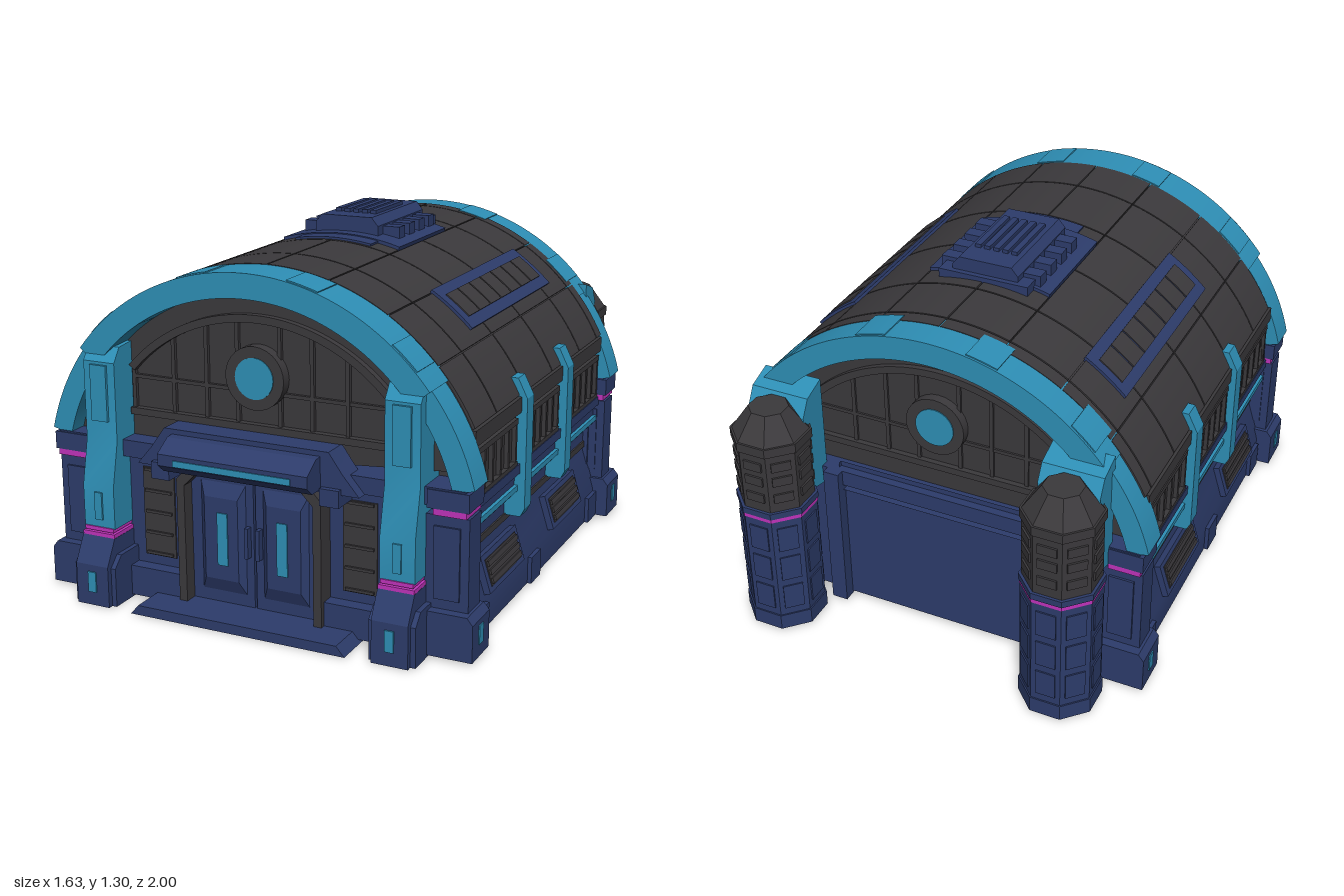
import * as THREE from 'three';
import { toCreasedNormals } from 'three/addons/utils/BufferGeometryUtils.js';

const mat = (name, color) => {
  const m = new THREE.MeshStandardMaterial({ color });
  m.name = name;
  return m;
};

export function createModel() {
  const dark = mat('charcoal panel', 0x3b393c);
  const navy = mat('navy metal', 0x2d3c6b);
  const cyan = mat('cyan trim', 0x2e8fb6);
  const pink = mat('magenta light', 0xc033bb);
  const model = new THREE.Group();
  model.name = 'hangar';
  const CY = 0.39; // centre height of the roof arc

  const add = (name, m, g, parent = model) => {
    const mesh = new THREE.Mesh(toCreasedNormals(g, 0.35), m);
    mesh.name = name;
    parent.add(mesh);
    return mesh;
  };
  // box given by its min and max on each axis
  const box = (name, m, x0, x1, y0, y1, z0, z1, parent) =>
    add(name, m, new THREE.BoxGeometry(x1 - x0, y1 - y0, z1 - z0)
      .translate((x0 + x1) / 2, (y0 + y1) / 2, (z0 + z1) / 2), parent);
  // box mirrored to both sides
  const pair = (name, m, x0, x1, ...r) => {
    box(name, m, x0, x1, ...r);
    box(name, m, -x1, -x0, ...r);
  };
  const poly = (pts) => new THREE.Shape(pts.map((p) => new THREE.Vector2(...p)));
  const extZ = (name, m, shape, z0, z1, parent) =>
    add(name, m, new THREE.ExtrudeGeometry(shape, { depth: z1 - z0, bevelEnabled: false, curveSegments: 40 })
      .translate(0, 0, z0), parent);
  // profile in (z, y) drawn out along x
  const extX = (name, m, pts, x0, x1, parent) =>
    add(name, m, new THREE.ExtrudeGeometry(poly(pts), { depth: x1 - x0, bevelEnabled: false })
      .rotateY(-Math.PI / 2).translate(x1, 0, 0), parent);
  // curved slab on the roof arc, angles measured from the top towards +x
  const arc = (name, m, r0, r1, a0, a1, z0, z1, parent) => {
    const s = new THREE.Shape();
    s.absarc(0, CY, r1, Math.PI / 2 - a0, Math.PI / 2 - a1, true);
    s.absarc(0, CY, r0, Math.PI / 2 - a1, Math.PI / 2 - a0, false);
    return extZ(name, m, s, z0, z1, parent);
  };

  // lower hull with sloped, recessed sides
  const half = [[0.75, 0.01], [0.75, 0.12], [0.7, 0.28], [0.7, 0.37], [0.735, 0.39], [0.735, 0.5]];
  extZ('hull', navy, poly([...half, ...half.map(([x, y]) => [-x, y]).reverse()]), -0.68, 0.8);

  // roof shell and tiles
  const A = 1.125;
  const shell = new THREE.Shape();
  shell.moveTo(0.735, 0.5);
  shell.lineTo(0.735, 0.73);
  shell.absarc(0, CY, 0.818, Math.PI / 2 - A, Math.PI / 2 + A, false);
  shell.lineTo(-0.735, 0.5);
  extZ('roofShell', dark, shell, -0.66, 0.74);
  const rows = [-0.64, -0.58, -0.36, -0.04, 0.25, 0.53, 0.73];
  for (let i = 0; i < 8; i++)
    for (let j = 0; j < rows.length - 1; j++)
      arc('roofTile', dark, 0.81, 0.828, -A + i * A / 4 + 0.003, -A + (i + 1) * A / 4 - 0.003,
        rows[j] + 0.003, rows[j + 1] - 0.003);

  // side walls: ledges, window bays, strips, vents and ribs
  for (const s of [1, -1]) {
    const side = new THREE.Group();
    side.name = s > 0 ? 'leftSide' : 'rightSide';
    model.add(side);
    const sb = (name, m, x0, x1, ...r) => (s > 0 ? box(name, m, x0, x1, ...r, side) : box(name, m, -x1, -x0, ...r, side));
    sb('eavesLedge', dark, 0.7, 0.755, 0.69, 0.745, -0.62, 0.74);
    sb('windowSill', navy, 0.7, 0.755, 0.47, 0.505, -0.62, 0.74);
    sb('lightStrip', cyan, 0.7, 0.748, 0.405, 0.425, -0.62, 0.74);
    sb('recessBand', dark, 0.69, 0.706, 0.29, 0.315, -0.62, 0.74);
    for (const [z0, z1] of [[0.33, 0.72], [-0.12, 0.23], [-0.6, -0.22]]) {
      sb('windowFrameTop', dark, 0.7, 0.752, 0.655, 0.675, z0, z1);
      sb('windowFrameBottom', dark, 0.7, 0.752, 0.505, 0.52, z0, z1);
      for (let k = 0; k <= 5; k++) {
        const z = z0 + 0.008 + (z1 - z0 - 0.016) * k / 5;
        sb('windowBar', dark, 0.7, 0.75, 0.51, 0.67, z - 0.007, z + 0.007);
      }
    }
    for (const z of [0.275, -0.17]) {
      const rib = extZ('sideRib', cyan, poly([[0.7, 0.31], [0.76, 0.31], [0.775, 0.34], [0.775, 0.74], [0.74, 0.81], [0.7, 0.81]]),
        z - 0.033, z + 0.033, side);
      if (s < 0) rib.geometry.rotateY(Math.PI).translate(0, 0, 2 * z);
    }
    for (const z of [0.44, -0.22]) {
      const vent = new THREE.Group();
      vent.name = 'sideVent';
      vent.position.set(s * 0.73, 0.195, z);
      vent.rotation.z = s * 0.3;
      side.add(vent);
      box('ventFrame', navy, -0.02, 0.02, -0.065, 0.065, -0.17, 0.17, vent);
      box('ventOpening', dark, -0.023, 0.023, -0.047, 0.047, -0.145, 0.145, vent);
      for (let k = -1; k <= 1; k++) box('ventSlat', dark, -0.03, 0.03, k * 0.03 - 0.009, k * 0.03 + 0.009, -0.14, 0.14, vent);
    }
    for (const z of [0.13, 0.66, -0.55]) sb('plinthBlock', navy, 0.7, 0.765, 0.01, 0.11, z - 0.05, z + 0.05);

    // roof skylight, curved along the arc
    const a0 = s * 0.67 - 0.115, a1 = s * 0.67 + 0.115;
    arc('skylightFrame', navy, 0.82, 0.838, a0, a1, -0.44, 0.37, side);
    for (let k = 0; k < 7; k++)
      arc('skylightPane', dark, 0.83, 0.842, a0 + 0.05, a1 - 0.05, -0.405 + k * 0.106, -0.405 + k * 0.106 + 0.098, side);
  }

  // end arches, gable walls and corner posts for both ends
  for (const f of [1, -1]) {
    const end = new THREE.Group();
    end.name = f > 0 ? 'frontEnd' : 'backEnd';
    model.add(end);
    const zs = (a, b) => (f > 0 ? [a, b] : [-b + 0.13, -a + 0.13]); // back end sits closer in
    arc('archEnds', cyan, 0.745, 0.822, -1.33, 1.33, ...zs(0.74, 0.855), end);
    arc('archBand', cyan, 0.74, 0.826, -0.91, 0.91, ...zs(0.715, 0.88), end);
    for (const a of [-0.75, -0.25, 0.25, 0.75]) arc('archClamp', cyan, 0.74, 0.83, a - 0.07, a + 0.07, ...zs(0.735, 0.872), end);
    const gable = new THREE.Shape();
    gable.moveTo(0.75, 0.5);
    gable.absarc(0, CY, 0.77, 0.3, Math.PI - 0.3, false);
    gable.lineTo(-0.75, 0.5);
    extZ('gableWall', dark, gable, ...zs(0.7, 0.785), end);
    // gable window frame
    const c = Math.asin(0.5 / 0.67);
    arc('gableFrame', dark, 0.645, 0.672, -c, c, ...zs(0.77, 0.81), end);
    box('gableFrameBase', dark, -0.5, 0.5, 0.66, 0.685, ...zs(0.77, 0.81), end);
    for (const x of [-0.49, -0.33, -0.2, -0.08, 0.08, 0.2, 0.33, 0.49])
      box('gableMullion', dark, x - 0.007, x + 0.007, 0.67, CY + Math.sqrt(0.435 - x * x), ...zs(0.77, 0.798), end);
    box('gableTransom', dark, -0.49, 0.49, 0.79, 0.803, ...zs(0.77, 0.797), end);
    // round window
    const [r0, r1] = zs(0.77, 0.825);
    const disc = (name, m, r, h) => add(name, m, new THREE.CylinderGeometry(r, r, h, 28).rotateX(Math.PI / 2)
      .translate(0, 0.85, (r0 + r1) / 2), end);
    disc('roundWindowRing', dark, 0.11, 0.055);
    disc('roundWindow', cyan, 0.072, 0.062);
    // ledge and corner posts
    box('endLedge', navy, -0.77, 0.77, 0.52, 0.58, ...zs(0.74, 0.86), end);
    for (const s of [1, -1]) {
      const cb = (name, m, x0, x1, ...r) => box(name, m, s > 0 ? x0 : -x1, s > 0 ? x1 : -x0, ...r, end);
      cb('cornerPost', navy, 0.56, 0.78, 0.1, 0.485, ...zs(0.745, 0.845));
      cb('cornerPanel', navy, 0.66, 0.75, 0.2, 0.45, ...zs(0.74, 0.853));
      cb('cornerLight', pink, 0.66, 0.775, 0.49, 0.512, ...zs(0.735, 0.862));
      cb('cornerCap', navy, 0.64, 0.785, 0.512, 0.575, ...zs(0.735, 0.865));
      extZ('cornerBase', navy, poly([[s * 0.62, 0.01], [s * 0.81, 0.01], [s * 0.81, 0.14], [s * 0.79, 0.165], [s * 0.62, 0.165]]),
        ...zs(0.73, 0.88), end);
      cb('cornerLamp', cyan, 0.808, 0.814, 0.055, 0.12, ...zs(0.79, 0.825));
    }
  }

  // front pillars with feet
  for (const s of [1, -1]) {
    const x = s * 0.568;
    extX('frontPillar', cyan, [[0.8, 0.27], [0.93, 0.27], [0.93, 0.42], [0.895, 0.58], [0.895, 0.86], [0.86, 0.91], [0.74, 0.92], [0.74, 0.6]],
      x - 0.062, x + 0.062);
    box('pillarInset', cyan, x - 0.032, x + 0.032, 0.65, 0.85, 0.88, 0.905);
    box('pillarFin', cyan, x - 0.015, x + 0.015, 0.3, 0.4, 0.9, 0.937);
    box('pillarLightLower', pink, x - 0.064, x + 0.064, 0.24, 0.254, 0.8, 0.94);
    box('pillarLightUpper', pink, x - 0.058, x + 0.058, 0.258, 0.272, 0.8, 0.935);
    extX('pillarFoot', navy, [[0.74, 0], [0.99, 0], [0.99, 0.15], [0.94, 0.24], [0.74, 0.24]], x - 0.065, x + 0.065);
    extX('pillarFootFlange', navy, [[0.74, 0], [0.97, 0], [0.97, 0.14], [0.93, 0.18], [0.74, 0.18]], x - 0.083, x + 0.083);
    box('footLamp', cyan, x - 0.016, x + 0.016, 0.05, 0.125, 0.985, 0.995);
  }

  // entrance: wall, side windows, doorway, doors, canopy and step
  box('entranceWall', navy, -0.56, 0.56, 0.01, 0.54, 0.76, 0.82);
  pair('entrancePlinth', navy, 0.27, 0.5, 0.01, 0.12, 0.8, 0.87);
  pair('sideWindow', dark, 0.325, 0.45, 0.155, 0.48, 0.8, 0.826);
  for (let k = 0; k <= 4; k++) pair('sideWindowBar', dark, 0.335, 0.44, 0.16 + k * 0.077, 0.17 + k * 0.077, 0.82, 0.834);
  const frame = poly([[-0.275, 0.02], [-0.275, 0.48], [-0.22, 0.54], [0.22, 0.54], [0.275, 0.48], [0.275, 0.02],
    [0.245, 0.02], [0.245, 0.46], [0.2, 0.505], [-0.2, 0.505], [-0.245, 0.46], [-0.245, 0.02]]);
  extZ('doorFrame', dark, frame, 0.8, 0.89);
  for (const s of [1, -1]) {
    extZ('door', navy, poly([[s * 0.004, 0.03], [s * 0.245, 0.03], [s * 0.245, 0.46], [s * 0.2, 0.505], [s * 0.004, 0.505]]), 0.81, 0.84);
    // raised bevelled door panel
    const p = new THREE.CylinderGeometry(0.75, 1, 0.02, 4).rotateY(Math.PI / 4).rotateX(Math.PI / 2).scale(0.122, 0.28, 1);
    add('doorPanel', navy, p.translate(s * 0.12, 0.275, 0.85));
    box('doorWindow', cyan, s * 0.115 - 0.02, s * 0.115 + 0.02, 0.18, 0.37, 0.855, 0.864);
    box('doorHandle', navy, s * 0.022 - 0.007, s * 0.022 + 0.007, 0.22, 0.33, 0.84, 0.865);
    box('canopyBracket', navy, s * 0.32 - 0.035, s * 0.32 + 0.035, 0.48, 0.54, 0.8, 0.92);
  }
  extZ('canopyBack', navy, poly([[-0.42, 0.52], [0.42, 0.52], [0.36, 0.59], [0.31, 0.66], [-0.31, 0.66], [-0.36, 0.59]]), 0.8, 0.9);
  extX('canopy', navy, [[0.8, 0.53], [0.96, 0.53], [0.995, 0.56], [0.995, 0.6], [0.93, 0.64], [0.8, 0.65]], -0.28, 0.28);
  box('canopyLight', cyan, -0.22, 0.22, 0.563, 0.585, 0.99, 0.999);
  extZ('step', navy, poly([[-0.41, 0], [0.41, 0], [0.38, 0.035], [-0.38, 0.035]]), 0.8, 0.995);

  // back wall with cargo door
  box('backWall', navy, -0.72, 0.72, 0.01, 0.58, -0.7, -0.6);
  box('cargoDoor', navy, -0.36, 0.36, 0.02, 0.5, -0.715, -0.69);
  pair('cargoDoorPost', navy, 0.36, 0.42, 0.01, 0.58, -0.76, -0.69);
  for (let k = 0; k < 3; k++) box('cargoDoorLintel', navy, -0.38, 0.38, 0.5 + k * 0.035, 0.53 + k * 0.035, -0.7, -0.73 + 0.008 * k);

  // octagonal towers at the back
  for (const s of [1, -1]) {
    const tower = new THREE.Group();
    tower.name = s > 0 ? 'leftTower' : 'rightTower';
    tower.position.set(s * 0.55, 0, -0.865);
    model.add(tower);
    const oct = (name, m, rb, rt, y0, y1) => add(name, m, new THREE.CylinderGeometry(rt / 0.924, rb / 0.924, y1 - y0, 8)
      .rotateY(Math.PI / 8).translate(0, (y0 + y1) / 2, 0), tower);
    oct('towerBase', navy, 0.13, 0.13, 0.01, 0.49);
    oct('towerFoot', navy, 0.135, 0.135, 0.01, 0.07);
    oct('towerLight', pink, 0.132, 0.132, 0.49, 0.506);
    oct('towerCollar', navy, 0.135, 0.135, 0.506, 0.53);
    oct('towerTop', dark, 0.125, 0.125, 0.53, 0.8);
    oct('towerCap', dark, 0.125, 0.065, 0.8, 0.89);
    oct('towerTopRing', dark, 0.132, 0.132, 0.765, 0.8);
    for (let k = 0; k < 8; k++) {
      const face = new THREE.Group();
      face.name = 'towerFace';
      face.rotation.y = k * Math.PI / 4;
      tower.add(face);
      for (const y of [0.1, 0.23, 0.36]) box('towerPlate', navy, -0.036, 0.036, y, y + 0.1, 0.12, 0.135, face);
      for (const y of [0.57, 0.64, 0.7]) box('towerLouver', dark, -0.035, 0.035, y, y + 0.035, 0.115, 0.132, face);
    }
    // cyan shoulder joining tower and arch
    extX('towerShoulder', cyan, [[-0.7, 0.5], [-0.82, 0.53], [-0.825, 0.84], [-0.79, 0.9], [-0.7, 0.93]].reverse(), s * 0.55 - 0.11, s * 0.55 + 0.11);
  }

  // rooftop machine
  arc('machinePlate', navy, 0.815, 0.84, -0.28, 0.28, -0.26, 0.17);
  arc('machineLip', navy, 0.815, 0.836, -0.18, 0.18, 0.17, 0.235);
  extZ('machineBody', navy, poly([[-0.125, 1.2], [0.125, 1.2], [0.125, 1.255], [0.1, 1.285], [-0.1, 1.285], [-0.125, 1.255]]), -0.29, 0.12);
  for (let k = -2; k <= 2; k++) box('machineFin', navy, k * 0.035 - 0.011, k * 0.035 + 0.011, 1.28, 1.298, -0.2, 0.04);
  for (const z of [-0.22, -0.13, -0.04, 0.05]) pair('machinePipe', navy, 0.11, 0.19, 1.2, 1.25, z - 0.025, z + 0.025);
  box('machineRear', navy, -0.17, 0.17, 1.19, 1.235, -0.31, -0.22);
  return model;
}
